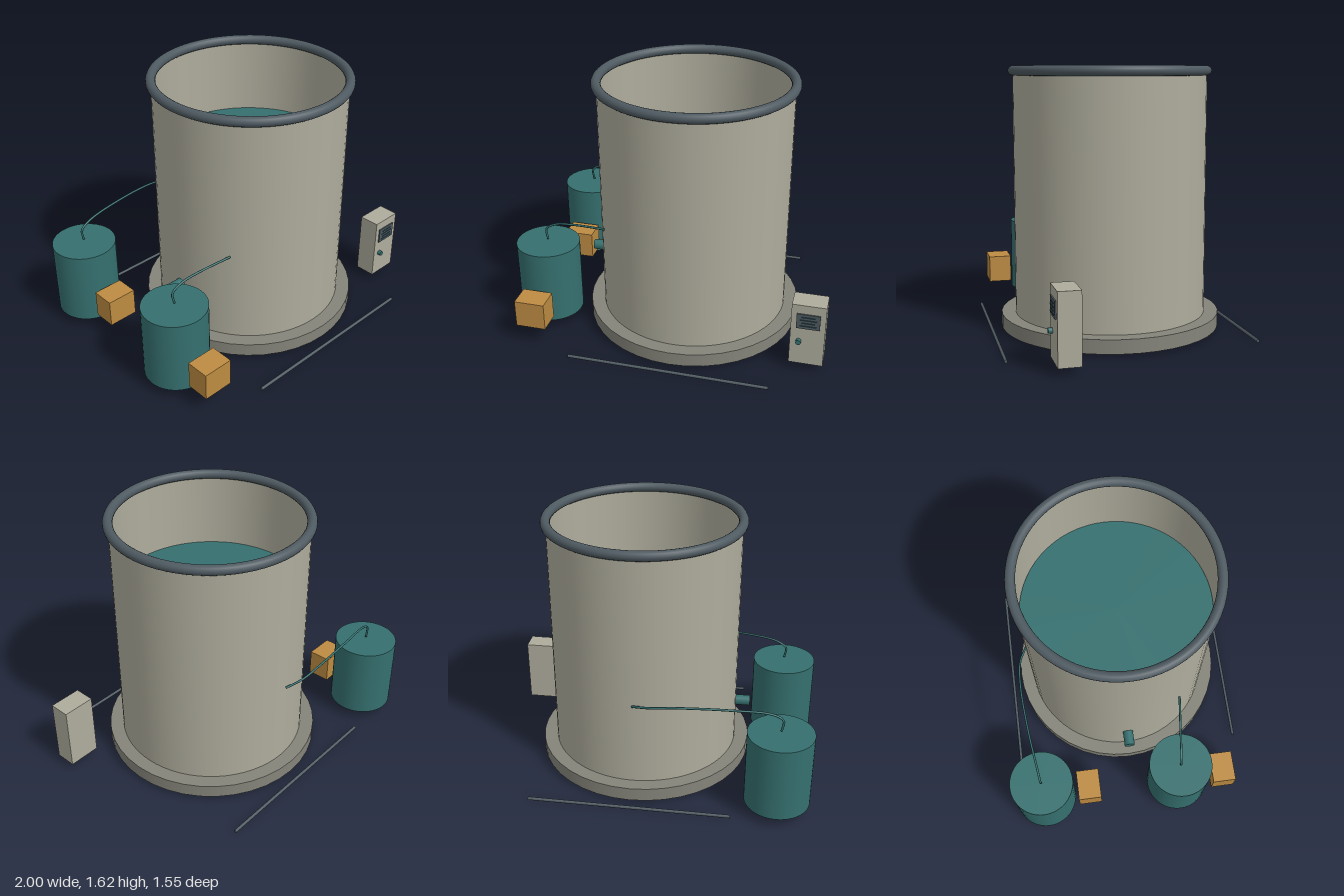
import * as THREE from 'three';

const mat = (name, color) => {
  const m = new THREE.MeshStandardMaterial({ color });
  m.name = name;
  return m;
};

export function createModel() {
  const concrete = mat('pale concrete', 0xaeac9c);
  const plinth = mat('dark concrete', 0x85847a);
  const teal = mat('teal', 0x35706f);
  const slate = mat('slate', 0x4e5a61);
  const amber = mat('amber', 0xbd8b42);
  const lineMat = mat('dark teal', 0x2b4a52);
  concrete.side = THREE.DoubleSide;

  const model = new THREE.Group();
  model.name = 'tankStation';
  const add = (parent, name, geometry, material, x = 0, y = 0, z = 0) => {
    const mesh = new THREE.Mesh(geometry, material);
    mesh.name = name;
    mesh.position.set(x, y, z);
    parent.add(mesh);
    return mesh;
  };
  const box = (w, h, d) => new THREE.BoxGeometry(w, h, d);
  const rod = (r, h, sides = 48) => new THREE.CylinderGeometry(r, r, h, sides);

  // Main tank: plinth, open shell, rolled rim and liquid
  const tank = new THREE.Group();
  tank.name = 'tank';
  tank.position.set(0.09, 0, 0.02);
  model.add(tank);
  add(tank, 'plinth', rod(0.68, 0.085, 40), plinth, 0, 0.0575, 0);
  add(tank, 'shell', new THREE.CylinderGeometry(0.593, 0.593, 1.49, 64, 1, true), concrete, 0, 0.845, 0);
  add(tank, 'rim', new THREE.TorusGeometry(0.592, 0.03, 16, 72), slate, 0, 1.59, 0).rotation.x = Math.PI / 2;
  add(tank, 'liquid', new THREE.CircleGeometry(0.59, 64), teal, 0, 1.1, 0).rotation.x = -Math.PI / 2;
  add(tank, 'outletPipe', rod(0.033, 0.14, 24), teal, -0.615, 0.372, 0).rotation.z = Math.PI / 2;

  // Guide rails in front of and behind the tank
  for (const side of [1, -1]) {
    add(tank, side > 0 ? 'frontRail' : 'backRail', rod(0.01, 1.24, 12), slate, 0, 0.01, side * 0.745)
      .rotation.z = Math.PI / 2;
  }

  // Dosing units: drum, pump box and feed hose
  const units = [
    { name: 'frontDosingUnit', z: 0.317,
      hose: [[-0.8, 0.55, 0.317], [-0.807, 0.62, 0.314], [-0.74, 0.665, 0.32], [-0.62, 0.685, 0.333], [-0.4, 0.697, 0.36]] },
    { name: 'backDosingUnit', z: -0.575,
      hose: [[-0.8, 0.55, -0.575], [-0.807, 0.62, -0.575], [-0.74, 0.66, -0.582], [-0.5, 0.685, -0.612],
        [-0.2, 0.687, -0.633], [-0.03, 0.665, -0.622], [0.08, 0.638, -0.577]] },
  ];
  for (const { name, z, hose } of units) {
    const unit = new THREE.Group();
    unit.name = name;
    model.add(unit);
    add(unit, 'drum', rod(0.2, 0.475), teal, -0.8, 0.2975, z);
    add(unit, 'pumpBox', box(0.19, 0.175, 0.147), amber, -0.8, 0.2075, z + 0.295);
    const path = new THREE.CatmullRomCurve3(hose.map(p => new THREE.Vector3(...p)));
    add(unit, 'hose', new THREE.TubeGeometry(path, 48, 0.007, 8), teal);
  }

  // Control cabinet with display and knob
  const cabinet = new THREE.Group();
  cabinet.name = 'controlCabinet';
  cabinet.position.set(0.895, 0, 0);
  model.add(cabinet);
  add(cabinet, 'cabinetBody', box(0.205, 0.415, 0.132), concrete, 0, 0.2525, 0.465);
  add(cabinet, 'display', box(0.14, 0.1, 0.008), slate, 0, 0.352, 0.535);
  for (let i = 0; i < 4; i++) {
    add(cabinet, 'displayLine', box(i % 2 ? 0.08 : 0.1, 0.005, 0.006), lineMat, 0, 0.322 + i * 0.02, 0.541);
  }
  add(cabinet, 'knob', rod(0.016, 0.024, 20), teal, -0.05, 0.209, 0.543).rotation.x = Math.PI / 2;

  return model;
}
